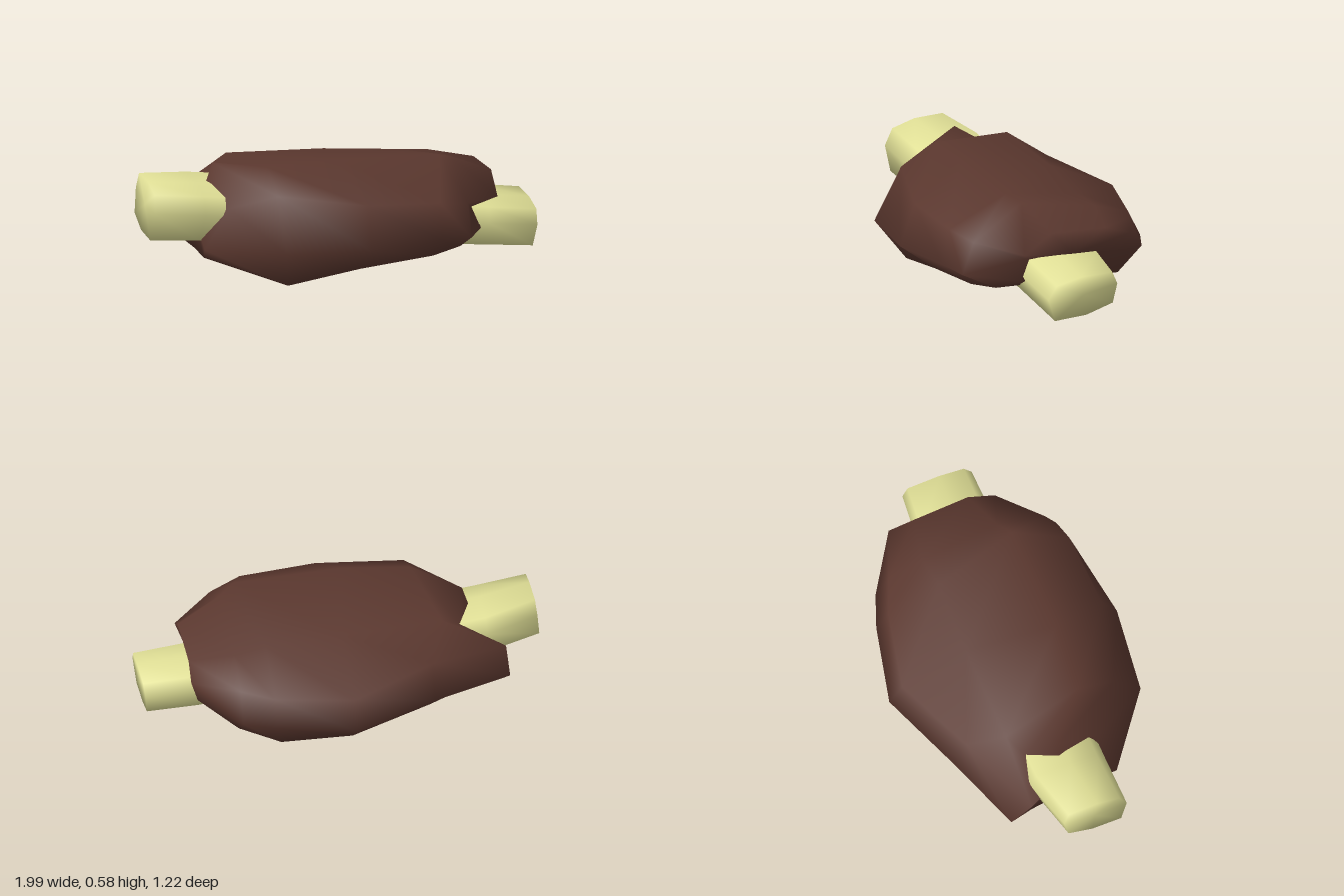
import * as THREE from 'three';

// Skins a list of closed rings running along +x and caps both ends, with smooth normals
function loft(rings) {
  const n = rings[0].length, last = (rings.length - 1) * n;
  const points = rings.flat(), index = [];
  for (let i = 0; i < rings.length - 1; i++) {
    for (let j = 0; j < n; j++) {
      const a = i * n + j, b = i * n + (j + 1) % n;
      index.push(a, a + n, b, b, a + n, b + n);
    }
  }
  const centre = ring => ring.reduce((s, p) => s.add(p), new THREE.Vector3()).divideScalar(n);
  const start = points.push(centre(rings[0])) - 1;
  const end = points.push(centre(rings[rings.length - 1])) - 1;
  for (let j = 0; j < n; j++) {
    const k = (j + 1) % n;
    index.push(start, j, k, end, last + k, last + j);
  }
  const geometry = new THREE.BufferGeometry().setFromPoints(points);
  geometry.setIndex(index);
  geometry.computeVertexNormals();
  return geometry;
}

// Meat cross-sections: x, then [z, y, shift in x] from the front over the top to the back and under
const meatSections = [
  [-0.72, [[0.28, 0.18, -0.02], [0.24, 0.37, 0.12], [0.02, 0.55, 0.1], [-0.14, 0.45, 0.14],
    [-0.2, 0.33, -0.08], [-0.31, 0.23, -0.08], [-0.18, 0.15, -0.03], [0.05, 0.13], [0.2, 0.12]]],
  [-0.4, [[0.555, 0.2], [0.41, 0.46], [0.22, 0.56], [-0.2, 0.53, -0.08],
    [-0.38, 0.41], [-0.455, 0.24], [-0.3, 0.1], [0.1, 0.08], [0.405, 0, 0.05]]],
  [0.02, [[0.61, 0.2], [0.53, 0.41], [0.25, 0.578, -0.08], [-0.2, 0.51],
    [-0.54, 0.36], [-0.61, 0.22], [-0.48, 0.1], [0, 0.08], [0.42, 0.06]]],
  [0.4, [[0.555, 0.21], [0.52, 0.39], [0.25, 0.562, 0.08], [-0.18, 0.48],
    [-0.45, 0.35], [-0.515, 0.22], [-0.39, 0.04, -0.04], [0, 0.08], [0.4, 0.09]]],
  [0.56, [[0.52, 0.2], [0.46, 0.36], [0.2, 0.53], [-0.2, 0.46],
    [-0.38, 0.37], [-0.45, 0.22], [-0.32, 0.1], [0, 0.1], [0.34, 0.11]]],
  [0.76, [[0.22, 0.27, -0.11], [0.28, 0.33, 0.01], [0.14, 0.43, 0.02], [-0.15, 0.42, 0.02],
    [-0.28, 0.38, 0.03], [-0.29, 0.28], [-0.2, 0.18, -0.07], [0, 0.16, -0.09], [0.26, 0.17, -0.07]]],
];

// Bone outline as [z, height from the axis]
const boneOutline = [[0.25, 0], [0.21, 0.07], [0.08, 0.1], [-0.09, 0.105],
  [-0.12, 0.04], [-0.1, -0.06], [0.04, -0.105], [0.21, -0.115]];

// Bone stations: x, front edge z, width scale, height scale
const boneStations = [[-0.98, 0.23, 0.9, 1.23], [-0.72, 0.23, 1.08, 1.2],
  [0, 0.24, 1.1, 1.1], [0.74, 0.25, 1.08, 1.02], [0.985, 0.25, 1, 1]];

export function createModel() {
  const group = new THREE.Group();
  const meatBrown = new THREE.MeshStandardMaterial({ color: 0x5a372e });
  meatBrown.name = 'meat brown';
  const boneCream = new THREE.MeshStandardMaterial({ color: 0xe0df96 });
  boneCream.name = 'bone cream';

  // Lumpy slab of meat
  const meatRings = meatSections.map(([x, ring]) =>
    ring.map(([z, y, dx = 0]) => new THREE.Vector3(x + dx, y, z)));
  const meat = new THREE.Mesh(loft(meatRings), meatBrown);
  meat.name = 'meat';

  // Flattened bone sloping down through the meat
  const boneRings = boneStations.map(([x, front, width, height]) =>
    boneOutline.map(([z, dy]) => new THREE.Vector3(
      x + 0.1 * dy * height,
      0.265 - 0.108 * x + dy * height,
      front - (0.25 - z) * width)));
  const bone = new THREE.Mesh(loft(boneRings), boneCream);
  bone.name = 'bone';

  group.add(meat, bone);
  return group;
}
